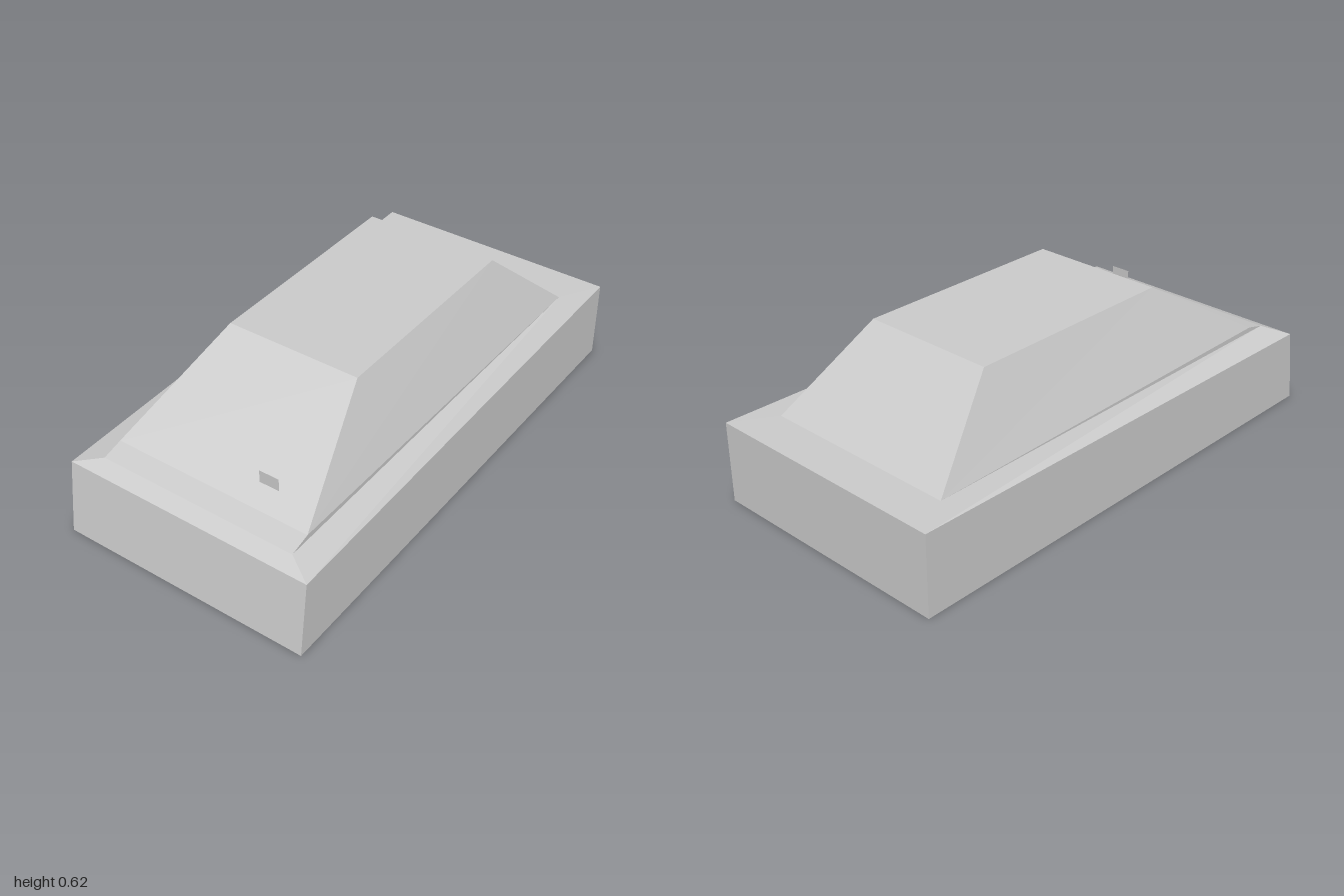
import * as THREE from 'three';

const material = new THREE.MeshStandardMaterial({ color: 0xcccccc, flatShading: true, side: THREE.DoubleSide });

// Four-cornered ring, counter-clockwise from above; each end has its own height
const ring = (x0, y0, x1, y1, z) => [[x0, y0, z], [x1, y1, z], [x1, y1, -z], [x0, y0, -z]];

// Flat-sided skin through a stack of rings, with optional end caps
function loft(name, rings, { capBottom = false, capTop = false } = {}) {
  const positions = [];
  const quad = (a, b, c, d) => positions.push(...a, ...b, ...c, ...a, ...c, ...d);
  for (let r = 0; r < rings.length - 1; r++) {
    for (let i = 0; i < 4; i++) {
      const j = (i + 1) % 4;
      quad(rings[r][i], rings[r][j], rings[r + 1][j], rings[r + 1][i]);
    }
  }
  if (capBottom) quad(...[...rings[0]].reverse());
  if (capTop) quad(...rings[rings.length - 1]);
  const geometry = new THREE.BufferGeometry();
  geometry.setAttribute('position', new THREE.Float32BufferAttribute(positions, 3));
  geometry.computeVertexNormals();
  const mesh = new THREE.Mesh(geometry, material);
  mesh.name = name;
  return mesh;
}

export function createModel() {
  const group = new THREE.Group();
  group.name = 'car';

  const base = ring(-1, 0, 1, 0, 0.5);
  const shoulder = ring(-0.96, 0.29, 1, 0.315, 0.5);
  const sill = ring(-0.9, 0.315, 0.84, 0.315, 0.4);
  const cabinFoot = ring(-0.82, 0.335, 0.84, 0.315, 0.4);
  const roof = ring(-0.36, 0.615, 0.51, 0.615, 0.27);

  // Lower body with its sloping rim
  group.add(loft('body', [base, shoulder, sill], { capBottom: true }));

  // Cabin: short bonnet step, sloping windows and flat roof
  group.add(loft('cabin', [sill, cabinFoot, roof], { capTop: true }));

  // Small upright panel on the windscreen
  const panel = new THREE.Mesh(new THREE.PlaneGeometry(0.08, 0.05), material);
  panel.name = 'windscreenPanel';
  panel.rotation.y = -Math.PI / 2;
  panel.position.set(-0.75, 0.408, 0.195);
  group.add(panel);

  return group;
}
